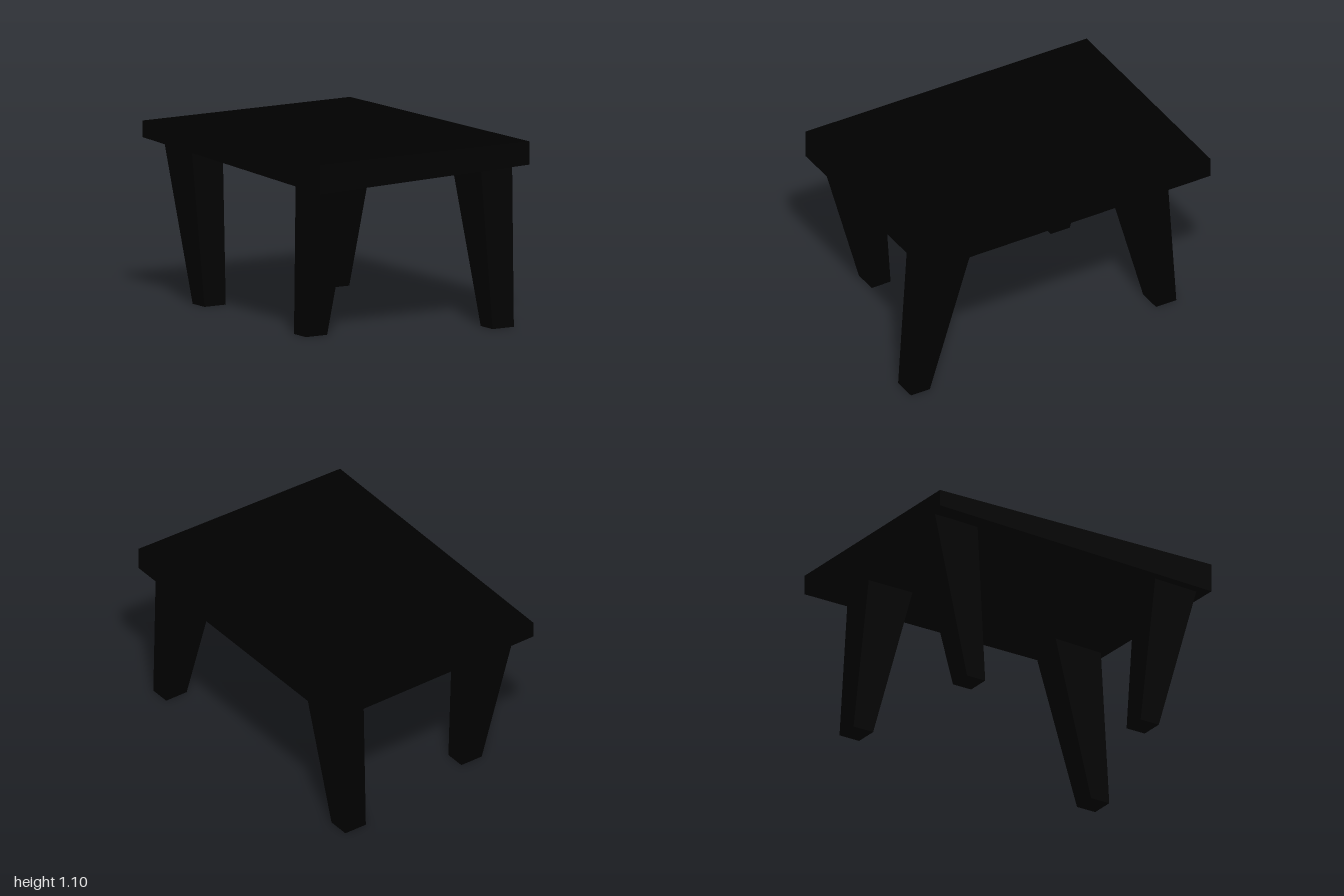
import * as THREE from 'three';

const black = new THREE.MeshStandardMaterial({ color: 0x000000, flatShading: true });

// Six-sided block: each corner of a unit box is moved to corner(sx, sy, sz)
function block(name, corner) {
  const geometry = new THREE.BoxGeometry(2, 2, 2).toNonIndexed();
  const p = geometry.attributes.position;
  for (let i = 0; i < p.count; i++) {
    p.setXYZ(i, ...corner(p.getX(i) > 0, p.getY(i) > 0, p.getZ(i) > 0));
  }
  geometry.computeVertexNormals();
  const mesh = new THREE.Mesh(geometry, black);
  mesh.name = name;
  return mesh;
}

// Leg ranges [min, max] at the floor (foot) and at y = 0.95 (head)
const LEGS = [
  { name: 'frontLeftLeg', footX: [0.45, 0.6], headX: [0.42, 0.64], footZ: [0.87, 1.0], headZ: [0.6, 0.92] },
  { name: 'frontRightLeg', footX: [-0.63, -0.48], headX: [-0.67, -0.45], footZ: [0.5, 0.63], headZ: [0.58, 0.88] },
  { name: 'backLeftLeg', footX: [0.4, 0.55], headX: [0.36, 0.58], footZ: [-0.86, -0.72], headZ: [-0.78, -0.47] },
  { name: 'backRightLeg', footX: [-0.57, -0.42], headX: [-0.61, -0.39], footZ: [-0.7, -0.57], headZ: [-0.95, -0.65] },
];

export function createModel() {
  const table = new THREE.Group();
  table.name = 'table';

  // Slightly crooked top: y and z differ from corner to corner
  table.add(block('tableTop', (left, up, front) => {
    const x = left ? 0.73 : -0.73;
    const z = front ? (left ? 0.97 : 0.94) : (left ? -0.99 : -1);
    const top = front ? (left ? 1.1 : 1.09) : (left ? 1.08 : 1.075);
    const bottom = left ? 0.96 : (front ? 0.915 : 0.975);
    return [x, up ? top : bottom, z];
  }));

  // Leaning legs, thicker at the head, running a little way into the top
  const headY = 0.98;
  for (const leg of LEGS) {
    table.add(block(leg.name, (left, up, front) => {
      const t = up ? headY / 0.95 : 0;
      const i = left ? 1 : 0;
      const k = front ? 1 : 0;
      return [
        THREE.MathUtils.lerp(leg.footX[i], leg.headX[i], t),
        up ? headY : 0,
        THREE.MathUtils.lerp(leg.footZ[k], leg.headZ[k], t),
      ];
    }));
  }
  return table;
}
